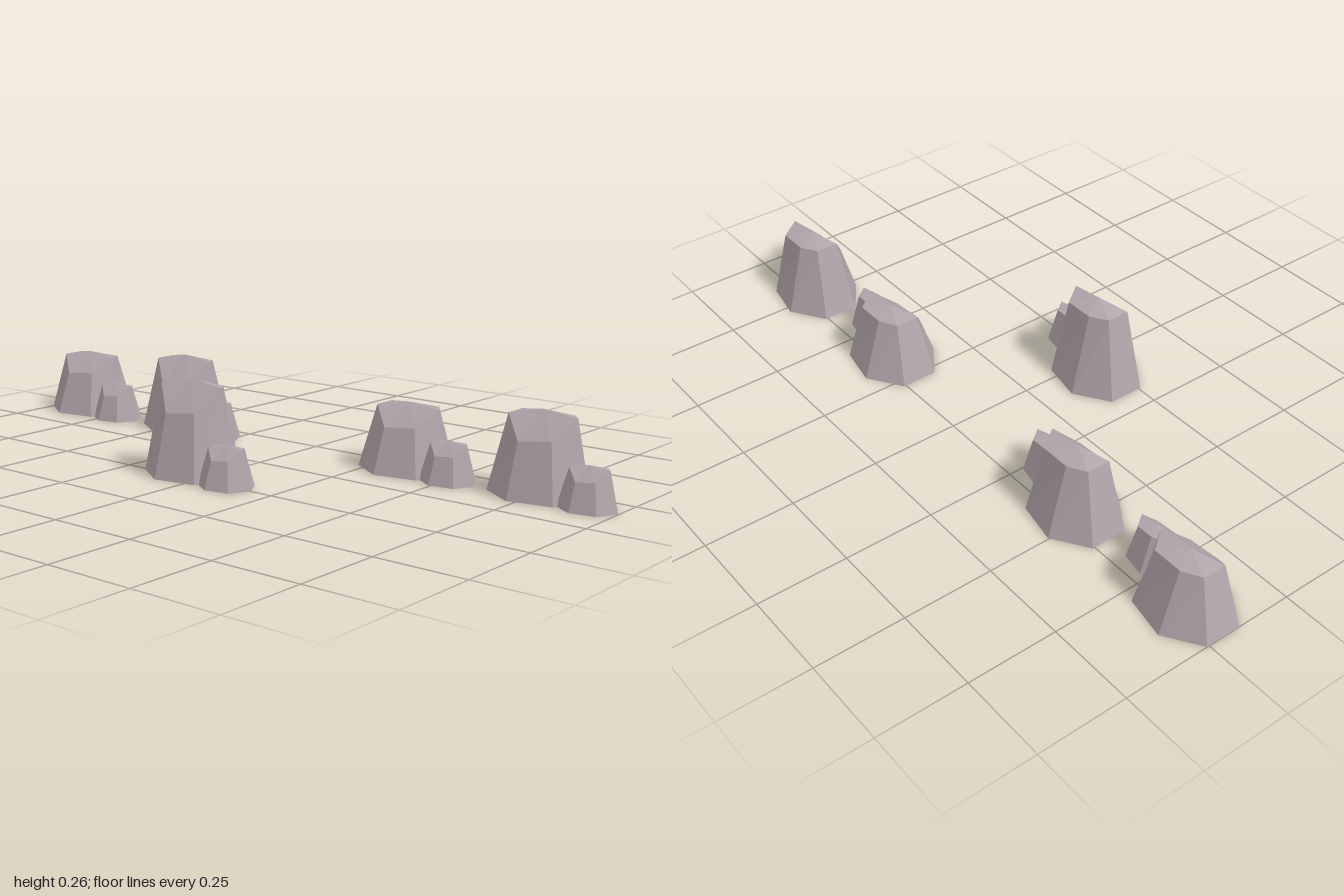
import * as THREE from 'three';

const SIDES = 7;

// Upper rim of a boulder, lower towards the front: [x, y, z] from the boulder's middle
const RIM = [
  [0.098, 0.243, 0], [0.06, 0.18, 0.06], [-0.028, 0.17, 0.073], [-0.081, 0.24, 0.033],
  [-0.081, 0.24, -0.033], [-0.028, 0.235, -0.058], [0.057, 0.235, -0.058],
];
const PEAK = [0, 0.257, 0];

// Seven-sided tapered boulder with a faceted, sloping crown
function boulderGeometry() {
  const base = RIM.map((_, i) => {
    const a = (i / SIDES) * Math.PI * 2;
    return [0.142 * Math.cos(a), 0, 0.118 * Math.sin(a)];
  });
  const positions = [];
  const tri = (a, b, c) => positions.push(...a, ...b, ...c);
  for (let i = 0; i < SIDES; i++) {
    const j = (i + 1) % SIDES;
    tri(base[i], RIM[i], base[j]);
    tri(RIM[i], RIM[j], base[j]);
    tri(PEAK, RIM[j], RIM[i]);
    tri([0, 0, 0], base[i], base[j]);
  }
  const geometry = new THREE.BufferGeometry();
  geometry.setAttribute('position', new THREE.Float32BufferAttribute(positions, 3));
  geometry.computeVertexNormals();
  return geometry;
}

export function createModel() {
  const model = new THREE.Group();
  model.name = 'rockClusters';

  const stone = new THREE.MeshStandardMaterial({ color: 0xb3a6ac });
  stone.name = 'stone';
  stone.flatShading = true;

  const geometry = boulderGeometry();

  function addBoulder(parent, name, x, z, width, height) {
    const mesh = new THREE.Mesh(geometry, stone);
    mesh.name = name;
    mesh.position.set(x, 0, z);
    mesh.scale.set(width, height, width);
    parent.add(mesh);
  }

  // Each cluster: [x, z, height of the large boulder]
  const clusters = [
    [-0.815, -0.205, 0.72], [-0.408, -0.205, 0.857], [0, 0.205, 1],
    [0.408, -0.205, 0.72], [0.815, -0.205, 0.857],
  ];
  clusters.forEach(([x, z, height], i) => {
    const cluster = new THREE.Group();
    cluster.name = `rockCluster${i + 1}`;
    cluster.position.set(x, 0, z);
    addBoulder(cluster, 'largeBoulder', -0.057, 0, 1, height);
    addBoulder(cluster, 'smallBoulder', 0.104, 0.048, 0.57, 0.428);
    model.add(cluster);
  });

  return model;
}
